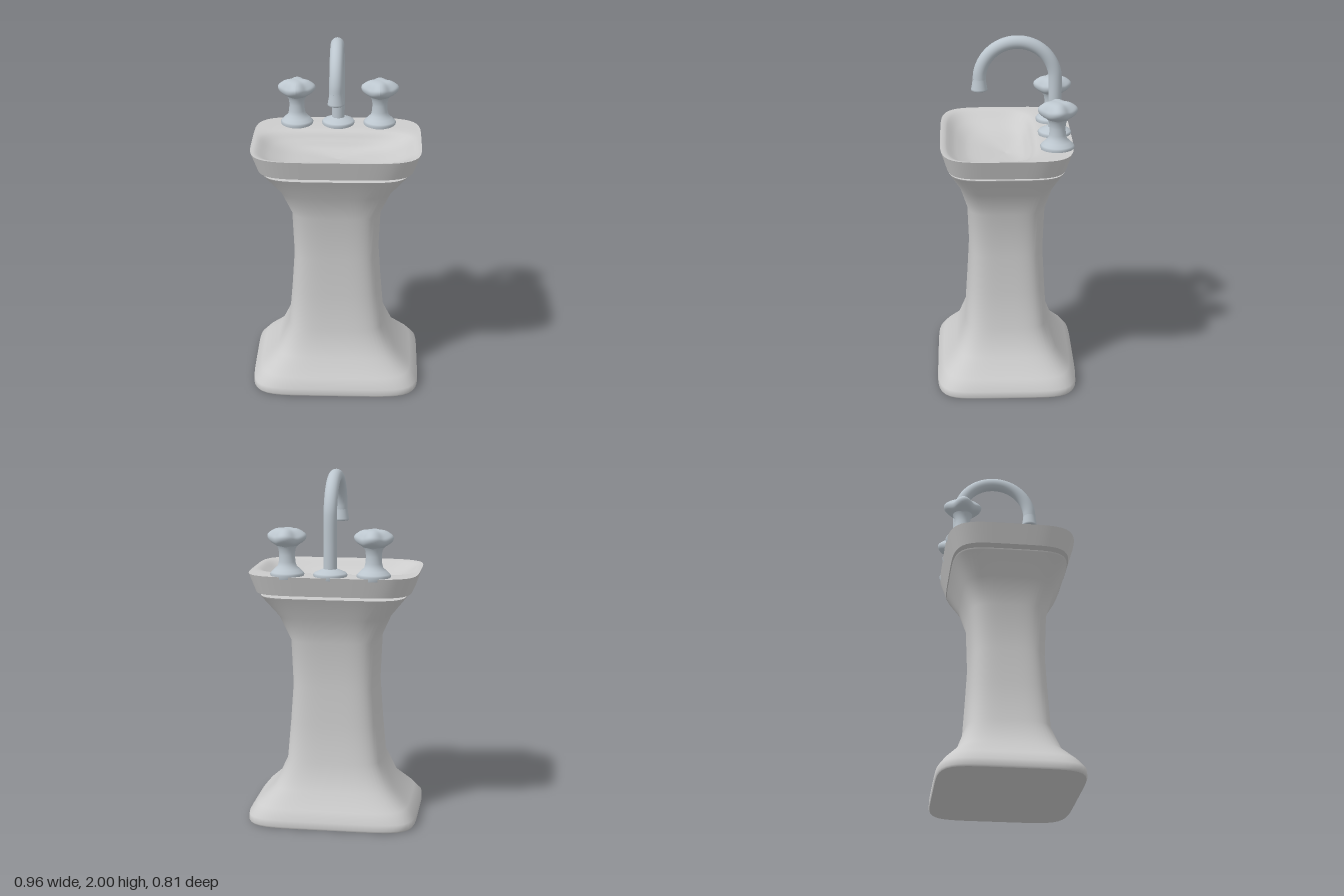
import * as THREE from 'three';

const SIDES = 96;
const ceramic = new THREE.MeshStandardMaterial({ color: 0xcccccc, side: THREE.DoubleSide });
const metal = new THREE.MeshStandardMaterial({ color: 0xbcc6ce, side: THREE.DoubleSide });

// Skin through rounded-rectangle rings: [y, half width, front z, back z, squareness]
function loft(rings) {
  const pos = [], index = [];
  rings.forEach(([y, hx, front, back, n]) => {
    for (let j = 0; j < SIDES; j++) {
      const t = (j / SIDES) * Math.PI * 2, c = Math.cos(t), s = -Math.sin(t);
      const r = Math.pow(Math.abs(c) ** n + Math.abs(s) ** n, -1 / n);
      pos.push(hx * c * r, y, (front + back) / 2 + ((front - back) / 2) * s * r);
    }
  });
  for (let i = 0; i < rings.length - 1; i++) {
    for (let j = 0; j < SIDES; j++) {
      const k = (j + 1) % SIDES, a = i * SIDES, b = a + SIDES;
      index.push(a + j, a + k, b + k, a + j, b + k, b + j);
    }
  }
  const g = new THREE.BufferGeometry();
  g.setAttribute('position', new THREE.Float32BufferAttribute(pos, 3));
  g.setIndex(index);
  g.computeVertexNormals();
  return g;
}

// Adds in-between rings along a smooth curve
function smoothRings(rings, steps) {
  const out = [];
  const curveA = new THREE.CatmullRomCurve3(rings.map(r => new THREE.Vector3(r[0], r[1], r[4])));
  const curveB = new THREE.CatmullRomCurve3(rings.map(r => new THREE.Vector3(r[2], r[3], 0)));
  for (let i = 0; i <= steps; i++) {
    const a = curveA.getPoint(i / steps), b = curveB.getPoint(i / steps);
    out.push([a.x, a.y, b.x, b.y, a.z]);
  }
  return out;
}

function add(parent, name, geometry, material) {
  const m = new THREE.Mesh(geometry, material);
  m.name = name;
  parent.add(m);
  return m;
}

function lathe(points) {
  return new THREE.LatheGeometry(points.map(([r, y]) => new THREE.Vector2(r, y)), 48);
}

const flange = [[0.088, 1.42], [0.095, 1.443], [0.088, 1.453], [0.065, 1.463], [0.04, 1.474], [0.03, 1.476]];

// Cross-shaped knob: a lathe whose radius swells in four lobes
function knobGeometry() {
  const pts = new THREE.SplineCurve([[0.04, 1.575], [0.055, 1.597], [0.088, 1.622], [0.097, 1.648],
    [0.085, 1.668], [0.06, 1.688], [0.03, 1.695], [0, 1.695]].map(p => new THREE.Vector2(...p))).getPoints(28);
  pts[pts.length - 1].x = 0;
  const g = new THREE.LatheGeometry(pts, 64);
  const p = g.attributes.position;
  for (let i = 0; i < p.count; i++) {
    const x = p.getX(i), z = p.getZ(i), r = Math.hypot(x, z);
    const lobe = Math.cos(4 * Math.atan2(z, x)), w = Math.min(1, r / 0.09);
    const k = 1 + 0.12 * lobe * w;
    p.setXYZ(i, x * k, p.getY(i) + 0.006 * lobe * w * w, z * k);
  }
  g.computeVertexNormals();
  return g;
}

export function createModel() {
  const model = new THREE.Group();
  model.name = 'pedestalSink';

  // Pedestal: [y, half width, half depth, squareness]
  const column = [[0, 0.475, 0.398, 6], [0.01, 0.482, 0.403, 6], [0.045, 0.48, 0.401, 6], [0.1, 0.437, 0.367, 5.5],
    [0.19, 0.342, 0.29, 5], [0.34, 0.275, 0.236, 4.5], [0.56, 0.256, 0.222, 4.5], [0.78, 0.241, 0.21, 4.5],
    [1.04, 0.252, 0.22, 4.5], [1.18, 0.315, 0.263, 4.5], [1.3, 0.41, 0.325, 5], [1.308, 0.412, 0.329, 5]]
    .map(([y, hx, hz, n]) => [y, hx, hz, -hz, n]);
  const pedestal = new THREE.Group();
  pedestal.name = 'pedestal';
  model.add(pedestal);
  add(pedestal, 'column', loft(column), ceramic);
  add(pedestal, 'foot', loft([[0, 0, 0, 0, 6], column[0]]), ceramic);
  add(pedestal, 'columnTop', loft([column[column.length - 1], [1.303, 0.2, 0.17, -0.17, 4], [1.3, 0, 0, 0, 4]]), ceramic);

  // Basin: sloping outer wall, hollow with a rear deck, shallow underside
  const basin = new THREE.Group();
  basin.name = 'basin';
  model.add(basin);
  const lip = [1.435, 0.476, 0.367, -0.369, 5], bottom = [1.325, 0.437, 0.335, -0.333, 5];
  add(basin, 'basinWall', loft([bottom, lip]), ceramic);
  add(basin, 'basinUnderside', loft([[1.302, 0, 0, 0, 4], [1.306, 0.2, 0.17, -0.15, 4], bottom]), ceramic);
  add(basin, 'bowl', loft(smoothRings([lip, [1.427, 0.44, 0.338, -0.18, 4.5], [1.385, 0.37, 0.285, -0.135, 4],
    [1.35, 0.27, 0.215, -0.1, 3.5], [1.33, 0.13, 0.1, -0.06, 3], [1.318, 0, 0, 0, 2.5]], 30)), ceramic);

  // Spout: upright pipe, half-circle bend and flared mouth
  const faucet = new THREE.Group();
  faucet.name = 'faucet';
  faucet.position.z = -0.277;
  model.add(faucet);
  const R = 0.211, pipeR = 0.037, arcY = 1.752;
  const path = new THREE.CurvePath();
  const pts = [new THREE.Vector3(0, 1.44, 0), new THREE.Vector3(0, 1.6, 0)];
  for (let i = 0; i <= 16; i++) {
    const a = (i / 16) * Math.PI;
    pts.push(new THREE.Vector3(0, arcY + R * Math.sin(a), R - R * Math.cos(a)));
  }
  for (let i = 0; i < pts.length - 1; i++) path.add(new THREE.LineCurve3(pts[i], pts[i + 1]));
  add(faucet, 'spoutPipe', new THREE.TubeGeometry(new THREE.CatmullRomCurve3(pts), 80, pipeR, 24), metal);
  add(faucet, 'spoutFlange', lathe(flange), metal);
  const mouth = add(faucet, 'spoutMouth',
    lathe([[0, 1.692], [0.04, 1.688], [0.046, 1.692], [0.045, 1.7], [0.039, 1.735], [pipeR, 1.755]]), metal);
  mouth.position.z = 2 * R;

  // Pair of tap handles
  const knob = knobGeometry();
  const stem = lathe([...flange.slice(0, 3), [0.07, 1.47], [0.052, 1.487], [0.046, 1.51], [0.043, 1.55], [0.047, 1.58], [0.058, 1.6]]);
  for (const [side, name] of [[1, 'leftHandle'], [-1, 'rightHandle']]) {
    const handle = new THREE.Group();
    handle.name = name;
    handle.position.set(side * 0.24, 0, -0.277);
    add(handle, 'handleStem', stem, metal);
    add(handle, 'handleKnob', knob, metal);
    model.add(handle);
  }
  return model;
}
